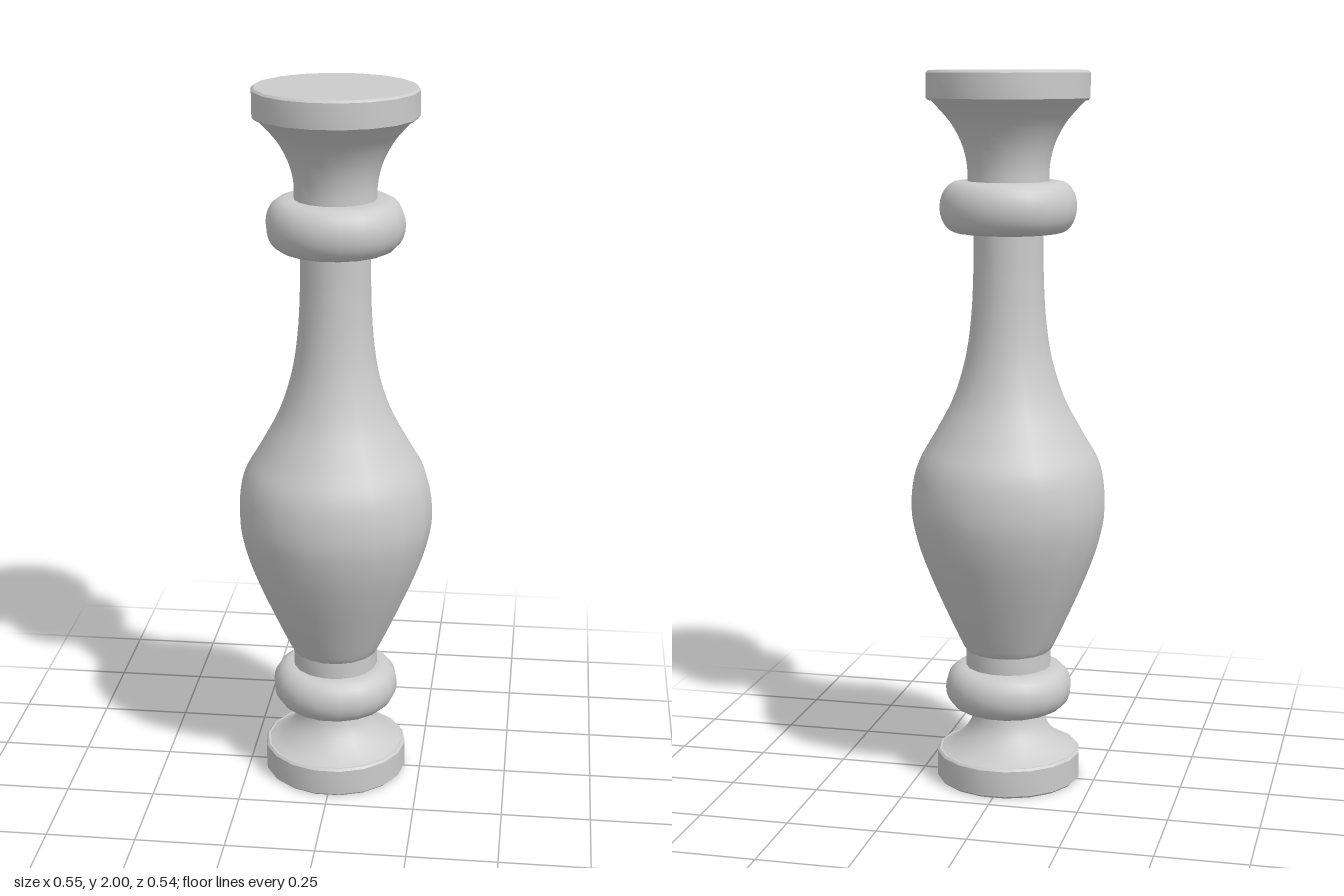
import * as THREE from 'three';
import { toCreasedNormals } from 'three/addons/utils/BufferGeometryUtils.js';

const SIDES = 18;

// Points are [radius, height], listed from bottom to top.
const toPoints = (list) => list.map(([r, y]) => new THREE.Vector2(r, y));
const smooth = (list, steps) => new THREE.SplineCurve(toPoints(list)).getPoints(steps);

export function createModel() {
  const group = new THREE.Group();
  group.name = 'baluster';
  const material = new THREE.MeshStandardMaterial({ color: 0xcccccc });

  function turn(name, points) {
    const lathe = new THREE.LatheGeometry(points, SIDES, Math.PI / 2);
    const mesh = new THREE.Mesh(toCreasedNormals(lathe, 0.65), material);
    mesh.name = name;
    group.add(mesh);
  }

  // Flat disc with slightly eased edges
  function disc(name, radius, bottom, top) {
    const e = 0.006;
    turn(name, toPoints([
      [0, bottom], [radius - e, bottom], [radius, bottom + e],
      [radius, top - e], [radius - e, top], [0, top],
    ]));
  }

  // Rounded collar: half-round rim between flat faces
  function collar(name, radius, bottom, top, inner) {
    const h = (top - bottom) / 2;
    const bulge = 0.052;
    const points = [new THREE.Vector2(inner, bottom)];
    for (let i = 0; i <= 12; i++) {
      const a = -Math.PI / 2 + (Math.PI * i) / 12;
      points.push(new THREE.Vector2(radius - bulge + bulge * Math.cos(a), bottom + h + h * Math.sin(a)));
    }
    points.push(new THREE.Vector2(inner, top));
    turn(name, points);
  }

  // Foot
  disc('basePlinth', 0.205, 0, 0.085);
  turn('baseCove', smooth([
    [0.195, 0.084], [0.165, 0.1], [0.13, 0.13], [0.107, 0.165], [0.096, 0.21],
  ], 14));
  collar('lowerCollar', 0.18, 0.205, 0.332, 0.07);
  turn('lowerNeck', toPoints([[0.121, 0.33], [0.121, 0.38]]));

  // Vase-shaped body running up into the slim neck
  turn('body', smooth([
    [0.12, 0.378], [0.133, 0.4], [0.179, 0.5], [0.222, 0.6], [0.257, 0.7],
    [0.274, 0.8], [0.259, 0.91], [0.21, 1.0], [0.157, 1.1], [0.122, 1.21],
    [0.105, 1.32], [0.098, 1.44], [0.097, 1.565],
  ], 48));

  // Head
  collar('upperCollar', 0.19, 1.562, 1.703, 0.07);
  turn('capitalCove', smooth([
    [0.113, 1.7], [0.114, 1.745], [0.127, 1.8], [0.155, 1.855], [0.19, 1.897], [0.215, 1.922],
  ], 16));
  disc('capitalPlate', 0.225, 1.92, 2);

  return group;
}
